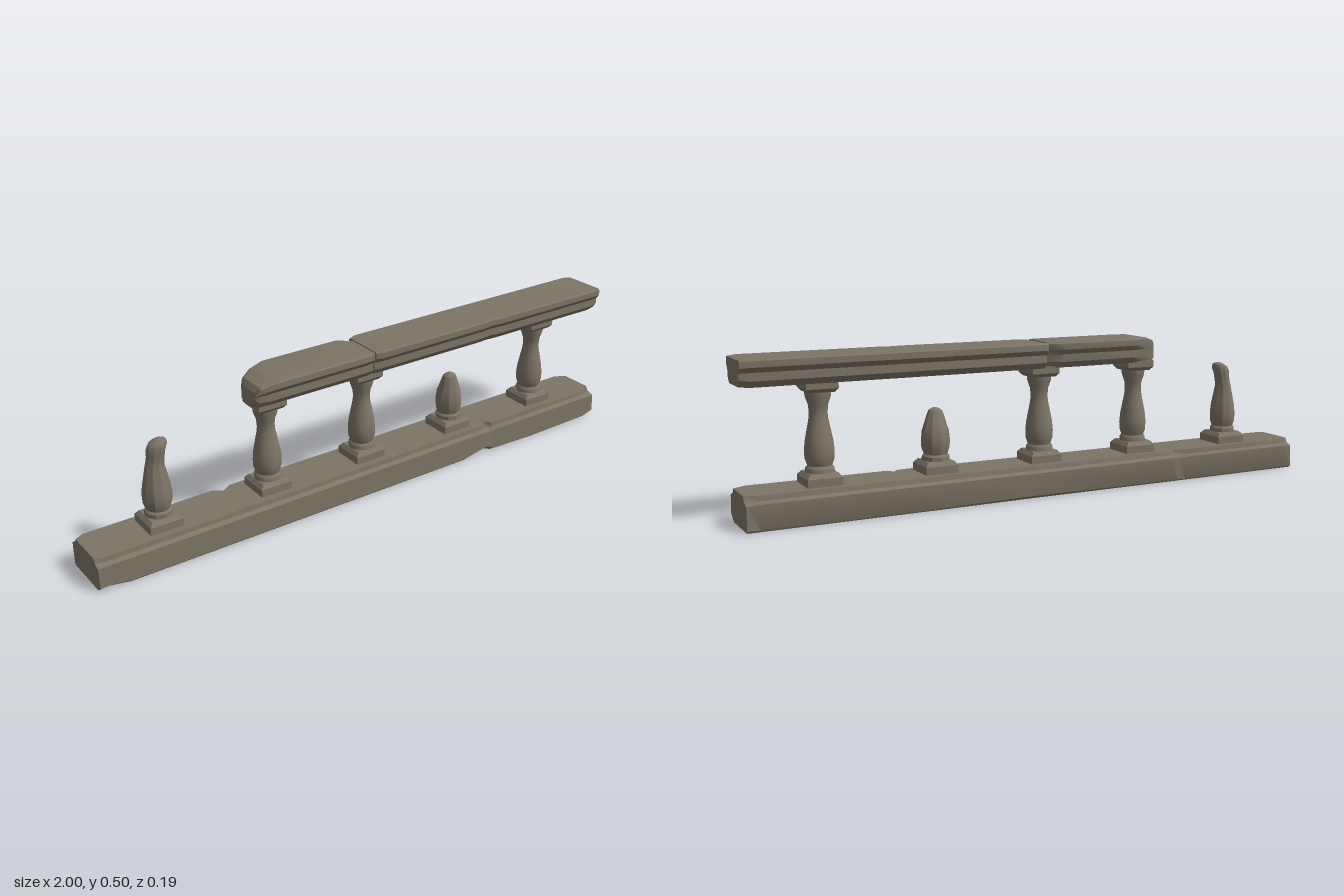
import * as THREE from 'three';
import { toCreasedNormals } from 'three/addons/utils/BufferGeometryUtils.js';

const stone = new THREE.MeshStandardMaterial({ color: 0x7d7566 });
stone.name = 'weathered stone';

function addMesh(parent, geometry, name, crease = 0.6) {
  const mesh = new THREE.Mesh(toCreasedNormals(geometry, crease), stone);
  mesh.name = name;
  parent.add(mesh);
  return mesh;
}

// Solid beam along x from cross-sections { x, pts: [[z, y], ...] }, capped at both ends
function loft(sections) {
  const n = sections[0].pts.length, pos = [], idx = [];
  for (const { x, pts } of sections) for (const [z, y] of pts) pos.push(x, y, z);
  for (let s = 0; s < sections.length - 1; s++) {
    for (let k = 0; k < n; k++) {
      const a = s * n + k, b = s * n + (k + 1) % n;
      idx.push(a, b, b + n, a, b + n, a + n);
    }
  }
  [0, sections.length - 1].forEach((s, end) => {
    const { x, pts } = sections[s];
    const c = pos.length / 3;
    pos.push(x, pts.reduce((t, p) => t + p[1], 0) / n, pts.reduce((t, p) => t + p[0], 0) / n);
    for (let k = 0; k < n; k++) {
      const a = s * n + k, b = s * n + (k + 1) % n;
      if (end) idx.push(c, a, b); else idx.push(c, b, a);
    }
  });
  const g = new THREE.BufferGeometry();
  g.setAttribute('position', new THREE.Float32BufferAttribute(pos, 3));
  g.setIndex(idx);
  return g;
}

// Base section; front / back / low / lowBack are chip depths at the upper and lower edges
function baseSection(x, { front = 0, back = 0, low = 0, lowBack = 0 } = {}) {
  return { x, pts: [
    [0.078 - front, 0.107], [0.08 - front * 0.7, 0.092], [0.093 - front * 0.1, 0.084 - front * 0.1],
    [0.094, 0.008 + low * 0.6], [0.088 - low, 0.002],
    [-0.088 + lowBack, 0.002], [-0.092, 0.008 + lowBack * 0.6],
    [-0.092 + back * 0.1, 0.084 - back * 0.1], [-0.08 + back * 0.7, 0.092], [-0.077 + back, 0.107],
  ] };
}

// Handrail section; top lowers the upper face, side narrows it, bottom lifts the underside
function railSection(x, { top = 0, front = 0, back = 0, bottom = 0 } = {}) {
  const half = (s, d) => [
    [s * (0.079 - d * 1.2), 0.505 - top], [s * (0.083 - d), 0.5 - top * 1.1], [s * (0.083 - d), 0.481 - top * 0.6],
    [s * (0.07 - d * 0.8), 0.465 - top * 0.3], [s * (0.07 - d * 0.8), 0.44 + bottom], [s * (0.053 - d * 0.5), 0.42 + bottom],
  ];
  return { x, pts: [...half(1, front), ...half(-1, back).reverse()] };
}

// Turned baluster profile [radius, height]
const PROFILE = [
  [0.045, 0.14], [0.044, 0.158], [0.038, 0.165], [0.045, 0.185], [0.046, 0.21], [0.043, 0.24],
  [0.036, 0.275], [0.03, 0.305], [0.028, 0.325], [0.03, 0.35], [0.039, 0.375], [0.04, 0.392], [0.04, 0.402],
];

function squareBlock(parent, name, halfBottom, halfTop, y0, y1) {
  const g = new THREE.CylinderGeometry(halfTop * Math.SQRT2, halfBottom * Math.SQRT2, y1 - y0, 4);
  g.rotateY(Math.PI / 4).translate(0, (y0 + y1) / 2, 0);
  addMesh(parent, g, name, 0.3);
}

function makeBaluster(x, broken) {
  const group = new THREE.Group();
  group.name = broken ? 'brokenBaluster' : 'baluster';
  group.position.x = x;
  squareBlock(group, 'plinth', 0.055, 0.055, 0.1, 0.132);
  squareBlock(group, 'plinthSlope', 0.055, 0.044, 0.132, 0.145);
  const points = broken
    ? [...PROFILE.filter(p => p[1] < broken.from), ...broken.tip, [0, broken.tip.at(-1)[1] + 0.003]]
    : PROFILE;
  const g = new THREE.LatheGeometry(points.map(p => new THREE.Vector2(...p)), broken ? 10 : 16);
  if (broken) {
    // Lean and roughen the snapped end
    const p = g.attributes.position;
    for (let i = 0; i < p.count; i++) {
      const t = Math.max(0, p.getY(i) - broken.from + 0.02);
      const px = p.getX(i), pz = p.getZ(i);
      p.setY(i, p.getY(i) + (t > 0.02 ? px * broken.slant : 0));
      p.setX(i, px + t * broken.lean);
      p.setZ(i, pz * (1 - t * 1.2) + t * 0.06);
    }
  }
  addMesh(group, g, 'turnedShaft', broken ? 0.5 : 0.7);
  if (!broken) {
    squareBlock(group, 'capitalSlope', 0.04, 0.05, 0.39, 0.402);
    squareBlock(group, 'capital', 0.05, 0.05, 0.402, 0.424);
  }
  return group;
}

export function createModel() {
  const model = new THREE.Group();
  model.name = 'brokenBalustrade';

  // Base beam with chipped ends and edges
  addMesh(model, loft([
    baseSection(-1, { front: 0.012, back: 0.015, low: 0.012 }),
    baseSection(-0.97, { low: 0.018 }),
    baseSection(-0.9),
    baseSection(-0.53),
    baseSection(-0.5, { back: 0.02 }),
    baseSection(-0.47),
    baseSection(0.05, { lowBack: 0.004 }),
    baseSection(0.38),
    baseSection(0.44, { low: 0.02 }),
    baseSection(0.475, { low: 0.03, front: 0.004 }),
    baseSection(0.49, { low: 0.026, front: 0.022 }),
    baseSection(0.505, { low: 0.008 }),
    baseSection(0.7),
    baseSection(0.96, { low: 0.005 }),
    baseSection(1, { front: 0.022, back: 0.022, low: 0.024 }),
  ]), 'baseBeam');

  // Short rail with a snapped left end
  addMesh(model, loft([
    railSection(-0.438, { top: 0.028, front: 0.02, back: 0.06, bottom: 0.01 }),
    railSection(-0.425, { top: 0.012, front: 0.008, back: 0.045 }),
    railSection(-0.385, { top: 0.001, back: 0.022 }),
    railSection(-0.33),
    railSection(-0.05),
    railSection(-0.006, { back: 0.03, front: 0.004 }),
  ]), 'shortRail');

  // Long rail with nibbled edges
  addMesh(model, loft([
    railSection(0.002, { front: 0.008, top: 0.002, back: 0.006 }),
    railSection(0.025),
    railSection(0.45),
    railSection(0.49, { front: 0.006 }),
    railSection(0.53),
    railSection(0.97),
    railSection(1, { top: 0.003, front: 0.006, back: 0.006, bottom: 0.004 }),
  ]), 'longRail');

  // Whole balusters
  for (const x of [-0.37, -0.003, 0.75]) model.add(makeBaluster(x));

  // Snapped balusters
  model.add(makeBaluster(-0.755, {
    from: 0.33, lean: 0.16, slant: 0.25,
    tip: [[0.029, 0.345], [0.033, 0.368], [0.028, 0.383], [0.014, 0.391]],
  }));
  model.add(makeBaluster(0.37, {
    from: 0.25, lean: -0.04, slant: 0.06,
    tip: [[0.037, 0.258], [0.028, 0.288], [0.022, 0.303], [0.012, 0.31]],
  }));
  return model;
}
